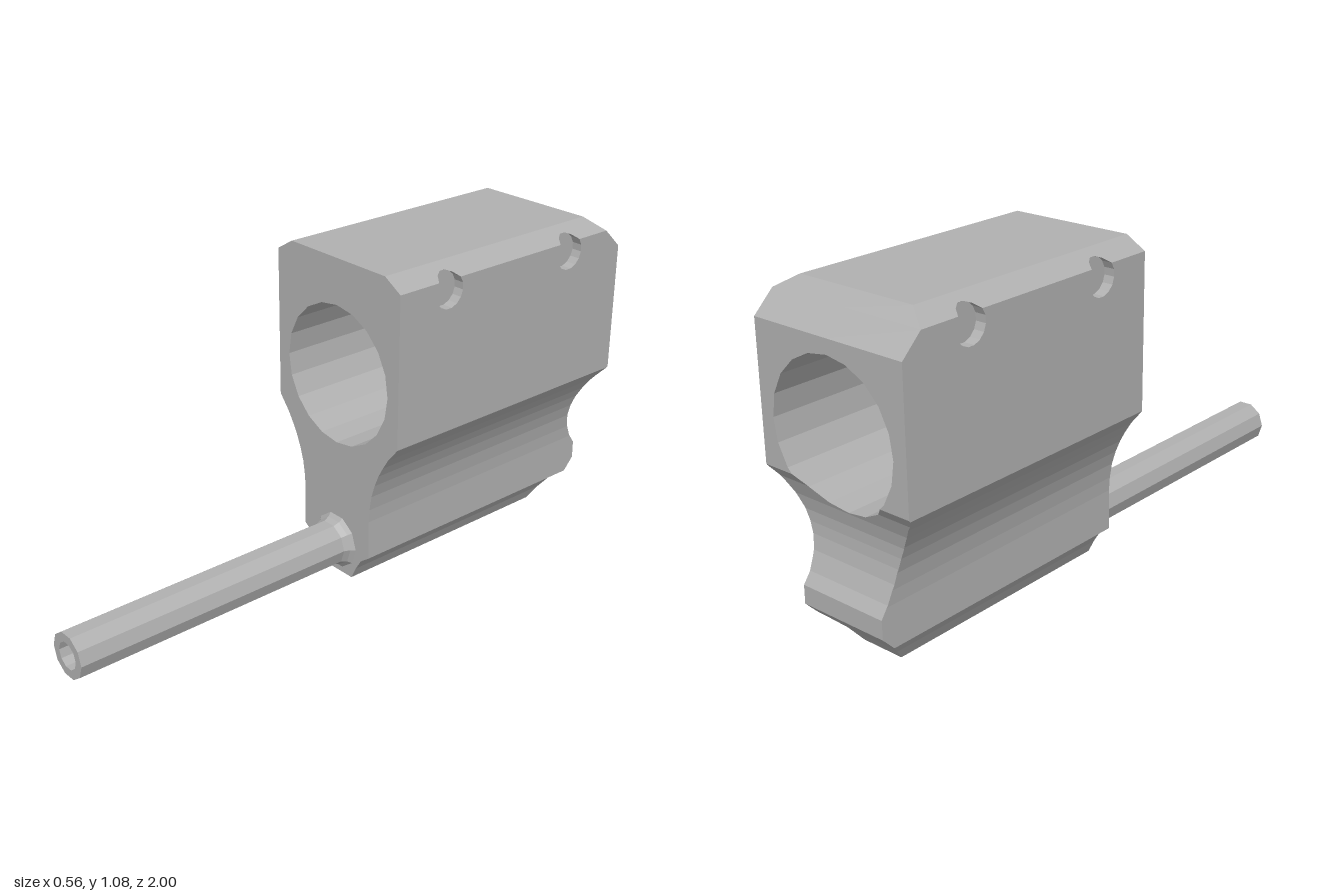
import * as THREE from 'three';

const FRONT = -0.02, SHOULDER = 0.54, BEVEL = 1.04, TOP = 1.08;
const BORE_Y = 0.697, BORE_R = 0.2325;
const NOTCH = { y: 1.005, r: 0.057, floor: 0.245, zs: [-0.22, -0.755] };

// Half-width of the block and position of its rear face, by height
const WIDTH = [[0, 0.075], [0.042, 0.096], [0.08, 0.12], [0.108, 0.158], [0.24, 0.156], [0.285, 0.159],
  [0.335, 0.167], [0.38, 0.181], [0.42, 0.198], [0.455, 0.217], [0.49, 0.239], [SHOULDER, 0.28], [BEVEL, 0.28], [TOP, 0.213]];
const BACK = [[0, -0.86], [0.05, -0.9], [0.11, -0.962], [0.15, -1], [0.21, -1], [0.245, -0.975], [0.3, -0.952],
  [0.345, -0.943], [0.38, -0.941], [0.415, -0.943], [0.46, -0.954], [0.51, -0.975], [0.545, -1], [0.975, -1], [TOP, -0.89]];
const BORE = Array.from({ length: 11 }, (_, k) => {
  const a = k * Math.PI / 10;
  return [BORE_Y - BORE_R * Math.cos(a), BORE_R * Math.sin(a)];
});

// Straight-line lookup in a table of [height, value]
function at(table, y) {
  if (y <= table[0][0]) return table[0][1];
  for (let i = 1; i < table.length; i++) {
    const [y0, v0] = table[i - 1], [y1, v1] = table[i];
    if (y <= y1) return v0 + (v1 - v0) * (y - y0) / (y1 - y0);
  }
  return table[table.length - 1][1];
}
const width = y => at(WIDTH, y), back = y => at(BACK, y), bore = y => Math.max(0, at(BORE, y));

// Collects faces, each turned to look along a given direction
class Faces {
  constructor() { this.p = []; }
  tri(a, b, c, dir) {
    const v = [a, b, c].map(q => new THREE.Vector3(...q));
    const n = v[1].clone().sub(v[0]).cross(v[2].clone().sub(v[0]));
    if (n.length() < 1e-9) return;
    this.p.push(...a, ...(n.dot(new THREE.Vector3(...dir)) < 0 ? [...c, ...b] : [...b, ...c]));
  }
  quad(a, b, c, d, dir) { this.tri(a, b, c, dir); this.tri(a, c, d, dir); }
  mesh(name, material) {
    const g = new THREE.BufferGeometry();
    g.setAttribute('position', new THREE.Float32BufferAttribute(this.p, 3));
    g.computeVertexNormals();
    const m = new THREE.Mesh(g, material);
    m.name = name;
    return m;
  }
}

function notchArc(cz, from, to, n) {
  return Array.from({ length: n + 1 }, (_, i) => {
    const a = from + (to - from) * i / n;
    return new THREE.Vector2(cz + NOTCH.r * Math.cos(a), NOTCH.y + NOTCH.r * Math.sin(a));
  });
}

export function createModel() {
  const group = new THREE.Group();
  const metal = new THREE.MeshStandardMaterial({ color: 0xb0b0b0, flatShading: true });
  metal.name = 'grey metal';

  const rows = [...WIDTH, ...BACK, ...BORE].map(e => e[0]).sort((a, b) => a - b)
    .filter((y, i, all) => i === 0 || y - all[i - 1] > 1e-6);
  const block = new Faces(), lining = new Faces(), notches = new Faces();

  // Block: strips of front, rear and lower side faces, with the bore lining
  for (let i = 1; i < rows.length; i++) {
    const y0 = rows[i - 1], y1 = rows[i];
    const w0 = width(y0), w1 = width(y1), h0 = bore(y0), h1 = bore(y1), z0 = back(y0), z1 = back(y1);
    for (const s of [1, -1]) {
      block.quad([s * h0, y0, FRONT], [s * w0, y0, FRONT], [s * w1, y1, FRONT], [s * h1, y1, FRONT], [0, 0, 1]);
      block.quad([s * h0, y0, z0], [s * w0, y0, z0], [s * w1, y1, z1], [s * h1, y1, z1], [0, 0, -1]);
      if (y1 <= SHOULDER + 1e-6)
        block.quad([s * w0, y0, FRONT], [s * w0, y0, z0], [s * w1, y1, z1], [s * w1, y1, FRONT], [s, 0, 0]);
      if (h0 + h1 > 1e-4)
        lining.quad([s * h0, y0, FRONT], [s * h0, y0, z0], [s * h1, y1, z1], [s * h1, y1, FRONT],
          [-s * (h0 + h1) / 2, BORE_Y - (y0 + y1) / 2, 0]);
    }
  }

  // Flat bottom and top
  for (const [y, dir] of [[0, -1], [TOP, 1]]) {
    const w = width(y), z = back(y);
    block.quad([-w, y, FRONT], [w, y, FRONT], [w, y, z], [-w, y, z], [0, dir, 0]);
  }

  // Upper side walls and edge bevels, with bites for the round notches
  const a0 = Math.asin((BEVEL - NOTCH.y) / NOTCH.r);
  const V = (z, y) => new THREE.Vector2(z, y);
  const wall = [V(FRONT, SHOULDER), V(FRONT, BEVEL),
    ...NOTCH.zs.flatMap(z => notchArc(z, a0, -Math.PI - a0, 11)),
    V(back(BEVEL), BEVEL), V(-1, 0.975), V(-1, 0.545), V(back(SHOULDER), SHOULDER)];
  const bevel = [V(FRONT, TOP), V(FRONT, BEVEL),
    ...NOTCH.zs.flatMap(z => notchArc(z, a0, Math.PI - a0, 5)),
    V(back(BEVEL), BEVEL), V(back(TOP), TOP)];
  for (const s of [1, -1]) {
    for (const outline of [wall, bevel]) {
      const p = outline.map(q => [s * width(q.y), q.y, q.x]);
      for (const [a, b, c] of THREE.ShapeUtils.triangulateShape(outline, []))
        block.tri(p[a], p[b], p[c], [s, 0, 0]);
    }
    // Notch rims and floors
    for (const z of NOTCH.zs) {
      const ring = [...notchArc(z, a0, Math.PI - a0, 5), ...notchArc(z, Math.PI - a0, 2 * Math.PI + a0, 11).slice(1)];
      for (let i = 1; i < ring.length; i++) {
        const a = ring[i - 1], b = ring[i], f = s * NOTCH.floor;
        notches.quad([f, a.y, a.x], [s * width(a.y), a.y, a.x], [s * width(b.y), b.y, b.x], [f, b.y, b.x],
          [0, NOTCH.y - (a.y + b.y) / 2, z - (a.x + b.x) / 2]);
        notches.tri([f, NOTCH.y, z], [f, a.y, a.x], [f, b.y, b.x], [s, 0, 0]);
      }
    }
  }
  group.add(block.mesh('block', metal), lining.mesh('bore', metal), notches.mesh('sideNotches', metal));

  // Hollow rod with a flared root
  const profile = [[0.095, FRONT], [0.083, -0.008], [0.075, 0.012], [0.075, 1], [0.045, 1], [0.045, 0], [0, 0]]
    .map(([r, z]) => new THREE.Vector2(r, z));
  const rod = new THREE.Mesh(new THREE.LatheGeometry(profile, 10, Math.PI / 2).rotateX(Math.PI / 2), metal);
  rod.position.y = 0.11;
  rod.name = 'rod';
  group.add(rod);

  return group;
}
